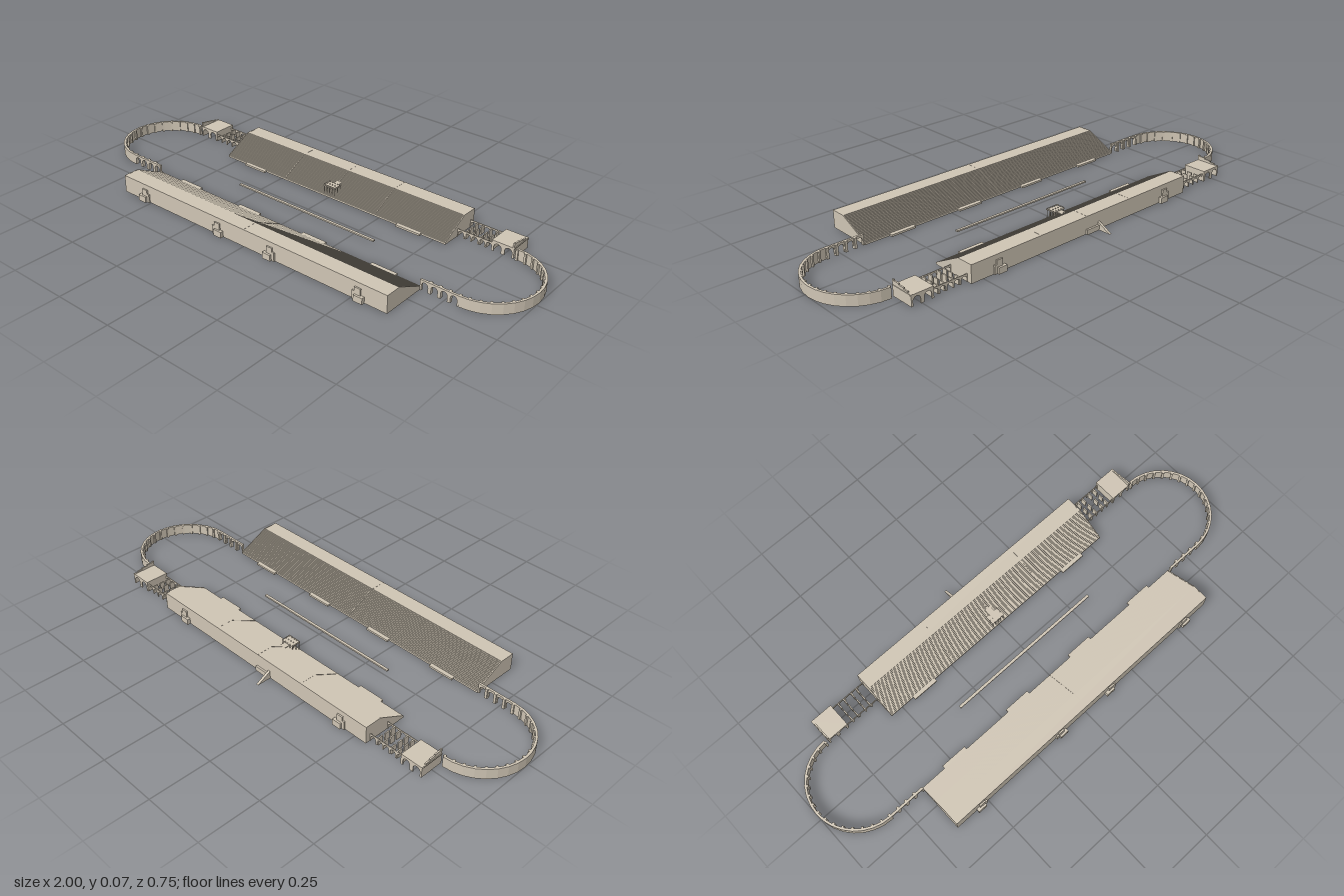
import * as THREE from 'three';

const stone = new THREE.MeshStandardMaterial({ color: 0xcfc5b4, flatShading: true, side: THREE.DoubleSide });

export function createModel() {
  const root = new THREE.Group();

  const add = (name, geo, x = 0, y = 0, z = 0, parent = root) => {
    const m = new THREE.Mesh(geo, stone);
    m.name = name;
    m.position.set(x, y, z);
    parent.add(m);
    return m;
  };
  // box given by its limits
  const box = (name, x0, x1, y0, y1, z0, z1, parent) => add(name,
    new THREE.BoxGeometry(x1 - x0, y1 - y0, z1 - z0), (x0 + x1) / 2, (y0 + y1) / 2, (z0 + z1) / 2, parent);
  const shapeOf = pts => new THREE.Shape(pts.map(p => new THREE.Vector2(p[0], p[1])));
  // (z, y) profile extruded along x, centred on x = 0
  const alongX = (pts, width) => new THREE.ExtrudeGeometry(shapeOf(pts), { depth: width, bevelEnabled: false })
    .translate(0, 0, -width / 2).rotateY(-Math.PI / 2);
  // wall in the x-y plane with n open arches
  const arcade = (length, height, n, thick, open = 0.68) => {
    const s = new THREE.Shape();
    const bay = length / n, r = bay * open / 2, spring = Math.max(0.006, height * 0.8 - r);
    s.moveTo(0, 0).lineTo(0, height).lineTo(length, height).lineTo(length, 0);
    for (let i = n - 1; i >= 0; i--) {
      const c = (i + 0.5) * bay;
      s.lineTo(c + r, 0).lineTo(c + r, spring);
      s.absarc(c, spring, r, 0, Math.PI, false);
      s.lineTo(c - r, 0);
    }
    return new THREE.ExtrudeGeometry(s, { depth: thick, bevelEnabled: false, curveSegments: 6 })
      .translate(0, 0, -thick / 2);
  };

  // hollow tiered stand; dir = +1 rises towards +z, -1 towards -z
  const stand = (name, halfWidth, zFoot, zCrest, zBack, dir, dividers) => {
    const g = new THREE.Group();
    g.name = name;
    const H = 0.072, low = 0.008, n = 24, t = 0.003;
    const run = (zCrest - zFoot) / n, rise = (H - low) / n;
    const shell = [[zFoot, 0]];
    for (let i = 0; i < n; i++) {
      shell.push([zFoot + i * run, low + i * rise], [zFoot + (i + 1) * run, low + i * rise]);
    }
    shell.push([zCrest, H], [zBack, H], [zBack, 0], [zBack - t, 0], [zBack - t, H - t],
      [zCrest + t / 2, H - t], [zFoot + t, low - t], [zFoot + t, 0]);
    const flip = pts => pts.map(p => [p[0] * dir, p[1]]);
    add('tiers', alongX(flip(shell), halfWidth * 2), 0, 0, 0, g);
    const wall = [[zFoot, 0], [zFoot, low + 0.001], [zCrest, H + 0.0005], [zBack, H + 0.0005], [zBack, 0]];
    for (const x of dividers) add('crossWall', alongX(flip(wall), 0.003), x, 0, 0, g);
    root.add(g);
  };
  stand('frontStand', 0.65, 0.165, 0.297, 0.363, 1, [-0.6485, 0, 0.6485]);
  stand('backStand', 0.553, 0.125, 0.245, 0.315, -1, [-0.5515, -0.23, 0, 0.23, 0.5515]);

  // low landings at the foot of the stands
  for (const x of [-0.485, -0.163, 0.163, 0.485]) box('frontLanding', x - 0.055, x + 0.055, 0, 0.008, 0.153, 0.167);
  for (const x of [-0.39, 0.39]) box('backLanding', x - 0.055, x + 0.055, 0, 0.008, -0.127, -0.113);

  // stepped stair towers on the outer walls
  const stair = (x, z, dir, flip) => {
    const g = new THREE.Group();
    g.name = 'stairTower';
    box('upperBlock', -0.012, 0.014, 0, 0.052, 0, 0.006, g);
    box('middleBlock', -0.012, 0.024, 0, 0.036, 0, 0.006, g);
    box('lowerBlock', -0.026, 0.012, 0, 0.025, 0, 0.014, g);
    g.position.set(x, 0, z);
    g.rotation.y = dir > 0 ? 0 : Math.PI;
    g.scale.x = flip;
    root.add(g);
  };
  for (const [x, f] of [[-0.53, 1], [-0.13, -1], [0.13, 1], [0.53, -1]]) stair(x, 0.363, 1, f);
  for (const [x, f] of [[-0.43, 1], [0.43, -1]]) stair(x, -0.315, -1, f);

  // rear entrance ramp and its side ledge
  add('entranceRamp', alongX([[-0.315, 0], [-0.315, 0.032], [-0.326, 0.026], [-0.375, 0]], 0.01), -0.062);
  box('rampLedge', -0.06, 0.005, 0, 0.02, -0.323, -0.315);

  // central barrier
  box('centralBarrier', -0.34, 0.34, 0, 0.006, 0.02, 0.031);

  // small viewing box carried on columns
  const pavilion = new THREE.Group();
  pavilion.name = 'viewingBox';
  box('platform', -0.029, 0.029, 0.0435, 0.0455, -0.168, -0.128, pavilion);
  box('rearPlatform', -0.013, 0.013, 0.041, 0.0435, -0.205, -0.166, pavilion);
  const post = new THREE.CylinderGeometry(0.0018, 0.0018, 1, 6);
  for (let i = 0; i < 5; i++) {
    for (const z of [-0.131, -0.148, -0.165]) {
      const foot = 0.008 + (-z - 0.125) * 0.53;
      const x = -0.026 + i * 0.013;
      add('column', post, x, (foot + 0.044) / 2, z, pavilion).scale.y = 0.044 - foot;
      add('railPost', post, x, 0.047, z, pavilion).scale.y = 0.003;
    }
  }
  box('frontRail', -0.029, 0.029, 0.0482, 0.0495, -0.13, -0.128, pavilion);
  for (const s of [-1, 1]) box('sideRail', s * 0.028 - 0.001, s * 0.028 + 0.001, 0.0482, 0.0495, -0.168, -0.128, pavilion);
  root.add(pavilion);

  // one end of the arena, mirrored for the other
  const cx = 0.805, cz = -0.018, R = 0.195, T = 0.009, H = 0.043, seg = 16;
  for (const side of [1, -1]) {
    const end = new THREE.Group();
    end.name = side > 0 ? 'leftEnd' : 'rightEnd';
    end.scale.x = side;

    // curved boundary wall
    const ring = [];
    for (let i = 0; i <= seg; i++) {
      const a = -Math.PI / 2 + Math.PI * i / seg;
      ring.push([cx + R * Math.cos(a), -cz + R * Math.sin(a)]);
    }
    for (let i = seg; i >= 0; i--) {
      const a = -Math.PI / 2 + Math.PI * i / seg;
      ring.push([cx + (R - T) * Math.cos(a), -cz + (R - T) * Math.sin(a)]);
    }
    add('curvedWall', new THREE.ExtrudeGeometry(shapeOf(ring), { depth: H, bevelEnabled: false })
      .rotateX(-Math.PI / 2), 0, 0, 0, end);
    for (let i = 0; i <= seg; i++) {
      const a = -Math.PI / 2 + Math.PI * i / seg, r = R - T - 0.002;
      add('buttress', new THREE.BoxGeometry(0.009, H, 0.009), cx + r * Math.cos(a), H / 2, cz + r * Math.sin(a), end)
        .rotation.y = -a;
    }

    // open arcade between the curve and the front stand
    add('frontArcade', arcade(0.156, H, 4, T), 0.65, 0, 0.1725, end);
    for (let i = 0; i < 4; i++) box('arcadePier', 0.684 + i * 0.039, 0.694 + i * 0.039, 0, H, 0.162, 0.169, end);

    // gatehouse with arched walls, flat roof and stepped parapet
    add('gatehouseFront', arcade(0.09, 0.043, 2, 0.004), 0.702, 0, -0.204, end);
    add('gatehouseRear', arcade(0.09, 0.043, 2, 0.004), 0.702, 0, -0.3, end);
    box('gatehouseRoof', 0.7, 0.794, 0.04, 0.044, -0.302, -0.202, end);
    box('gatehouseInnerWall', 0.7, 0.704, 0, 0.04, -0.302, -0.202, end);
    add('steppedParapet', alongX([[-0.302, 0], [-0.302, 0.045], [-0.284, 0.045], [-0.284, 0.05], [-0.262, 0.05],
      [-0.262, 0.055], [-0.236, 0.055], [-0.236, 0.06], [-0.21, 0.06], [-0.21, 0.064], [-0.202, 0.064], [-0.202, 0]],
    0.006), 0.789, 0, 0, end);

    // starting stalls: rows of short partitions between low kerbs
    for (const x of [0.587, 0.612, 0.648, 0.675]) {
      for (const z of [-0.28, -0.247, -0.217]) box('stallPartition', x - 0.0025, x + 0.0025, 0, 0.032, z - 0.011, z + 0.011, end);
    }
    add('stallFront', arcade(0.15, 0.032, 5, 0.003, 0.8), 0.552, 0, -0.206, end);
    add('stallRear', arcade(0.15, 0.032, 5, 0.003, 0.8), 0.552, 0, -0.293, end);
    root.add(end);
  }
  return root;
}
